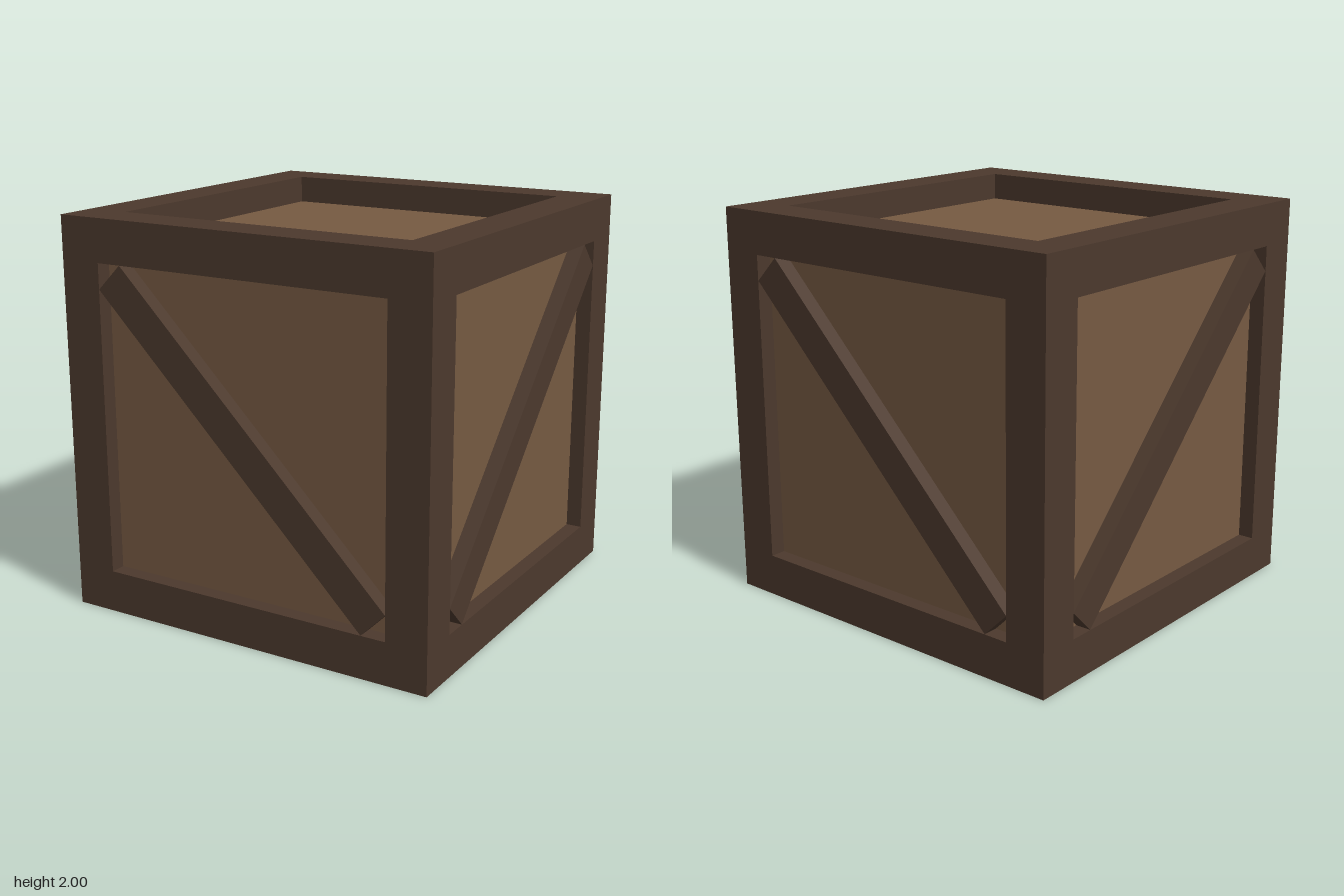
import * as THREE from 'three';

export function createModel() {
  const crate = new THREE.Group();
  crate.name = 'crate';
  const frameWood = new THREE.MeshStandardMaterial({ color: 0x4c392d });
  const panelWood = new THREE.MeshStandardMaterial({ color: 0x765a42 });

  const beam = 0.215;            // thickness of the frame beams
  const open = 2 - 2 * beam;     // width of each framed opening
  const mid = 1 - beam / 2;      // distance of beam axes from the centre

  function box(parent, name, material, size, position) {
    const mesh = new THREE.Mesh(new THREE.BoxGeometry(...size), material);
    mesh.name = name;
    mesh.position.set(...position);
    parent.add(mesh);
    return mesh;
  }

  // Panelled body: sides set back 0.08, lid 0.14, floor 0.02
  box(crate, 'panels', panelWood, [1.84, 1.84, 1.84], [0, 0.94, 0]);

  // Corner posts, with rails fitted between them at top and bottom
  for (const a of [-1, 1]) {
    for (const b of [-1, 1]) {
      box(crate, 'cornerPost', frameWood, [beam, 2, beam], [a * mid, 1, b * mid]);
      box(crate, 'railAlongX', frameWood, [open, beam, beam], [0, 1 + a * mid, b * mid]);
      box(crate, 'railAlongZ', frameWood, [beam, beam, open], [a * mid, 1 + b * mid, 0]);
    }
  }

  // Diagonal braces: falling to the right on front and back, rising on the sides
  for (let i = 0; i < 4; i++) {
    const side = new THREE.Group();
    side.name = 'braceSide';
    side.rotation.y = i * Math.PI / 2;
    const brace = box(side, 'diagonalBrace', frameWood, [2.04, 0.18, 0.1], [0, 1, 0.949]);
    brace.rotation.z = (i % 2 ? 1 : -1) * Math.PI / 4;
    crate.add(side);
  }
  return crate;
}
